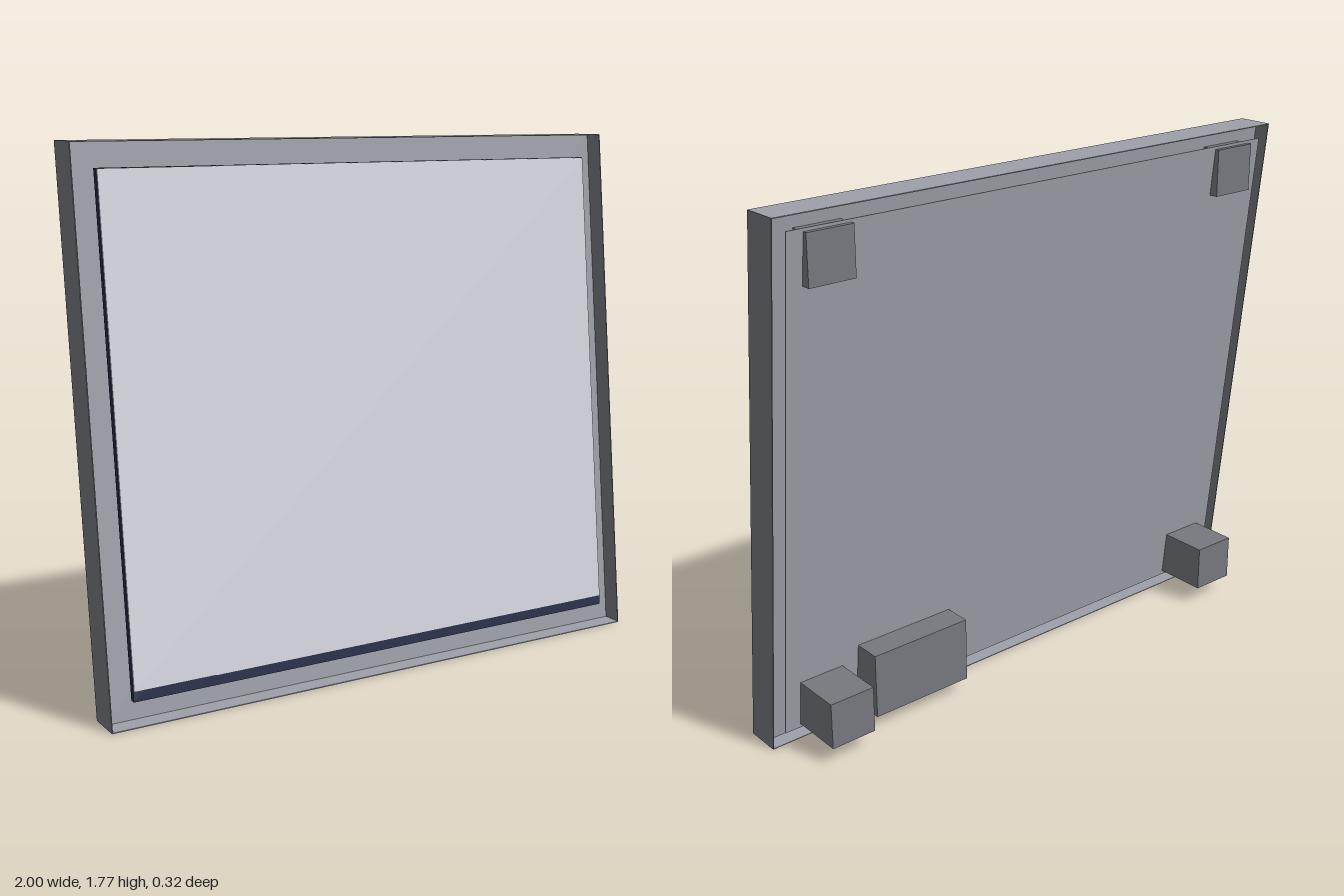
import * as THREE from 'three';

const H = 1.775, LEAN = 0.186, DEPTH = 0.123;
// z of the leaning front plane at height y
const frontZ = (y) => 0.16 - (LEAN * y) / H;

export function createModel() {
  const model = new THREE.Group();
  const mat = (name, color) => {
    const m = new THREE.MeshStandardMaterial({ color });
    m.name = name;
    return m;
  };
  const frameGrey = mat('frame grey', 0x9da0a8);
  const panelGrey = mat('light panel grey', 0xd6d8e0);
  const edgeBlue = mat('dark blue edge', 0x232b47);
  const darkGrey = mat('dark grey', 0x76787f);

  const add = (name, geo, material) => {
    const mesh = new THREE.Mesh(geo, material);
    mesh.name = name;
    model.add(mesh);
  };

  // Box between two heights, with depths d0..d1 measured back from the leaning front plane
  const leaningBox = (name, x0, x1, y0, y1, d0, d1, material) => {
    const geo = new THREE.BoxGeometry(x1 - x0, y1 - y0, d1 - d0);
    geo.translate((x0 + x1) / 2, (y0 + y1) / 2, -(d0 + d1) / 2);
    const p = geo.attributes.position;
    for (let i = 0; i < p.count; i++) p.setZ(i, p.getZ(i) + frontZ(p.getY(i)));
    geo.computeVertexNormals();
    add(name, geo, material);
  };

  // Upright box given by its limits
  const box = (name, x0, x1, y0, y1, z0, z1, material) => {
    const geo = new THREE.BoxGeometry(x1 - x0, y1 - y0, z1 - z0);
    geo.translate((x0 + x1) / 2, (y0 + y1) / 2, (z0 + z1) / 2);
    add(name, geo, material);
  };

  // Thin outer rim: light top and bottom, darker sides
  const t = 0.003;
  leaningBox('rimBottom', -1 + t, 1 - t, 0, t, 0, DEPTH, frameGrey);
  leaningBox('rimTop', -1 + t, 1 - t, H - t, H, 0, DEPTH, frameGrey);
  leaningBox('rimLeft', 1 - t, 1, 0, H, 0, DEPTH, darkGrey);
  leaningBox('rimRight', -1, -1 + t, 0, H, 0, DEPTH, darkGrey);

  // Recessed plate inside the rim
  leaningBox('recessedPlate', -1 + t, 1 - t, t, H - t, 0.066, 0.069, frameGrey);

  // Back cover standing clear of the recessed plate
  leaningBox('backCover', -0.955, 0.955, 0.045, 1.73, 0.121, 0.125, frameGrey);

  // Light front panel on a thin dark slab
  leaningBox('panelSlab', -0.92, 0.92, 0.08, 1.695, 0.006, 0.026, edgeBlue);
  leaningBox('frontPanel', -0.918, 0.918, 0.113, 1.694, 0.002, 0.007, panelGrey);

  // Support blocks and wall pads at the back corners
  for (const x0 of [0.74, -0.9]) {
    box('lowerBlock', x0, x0 + 0.16, 0.06, 0.22, -0.16, 0.09, darkGrey);
    box('upperPad', x0, x0 + 0.16, 1.56, 1.72, -0.16, -0.092, darkGrey);
  }

  // Connector housing
  box('connectorBox', 0.31, 0.68, 0.05, 0.275, -0.088, 0.075, darkGrey);

  return model;
}
